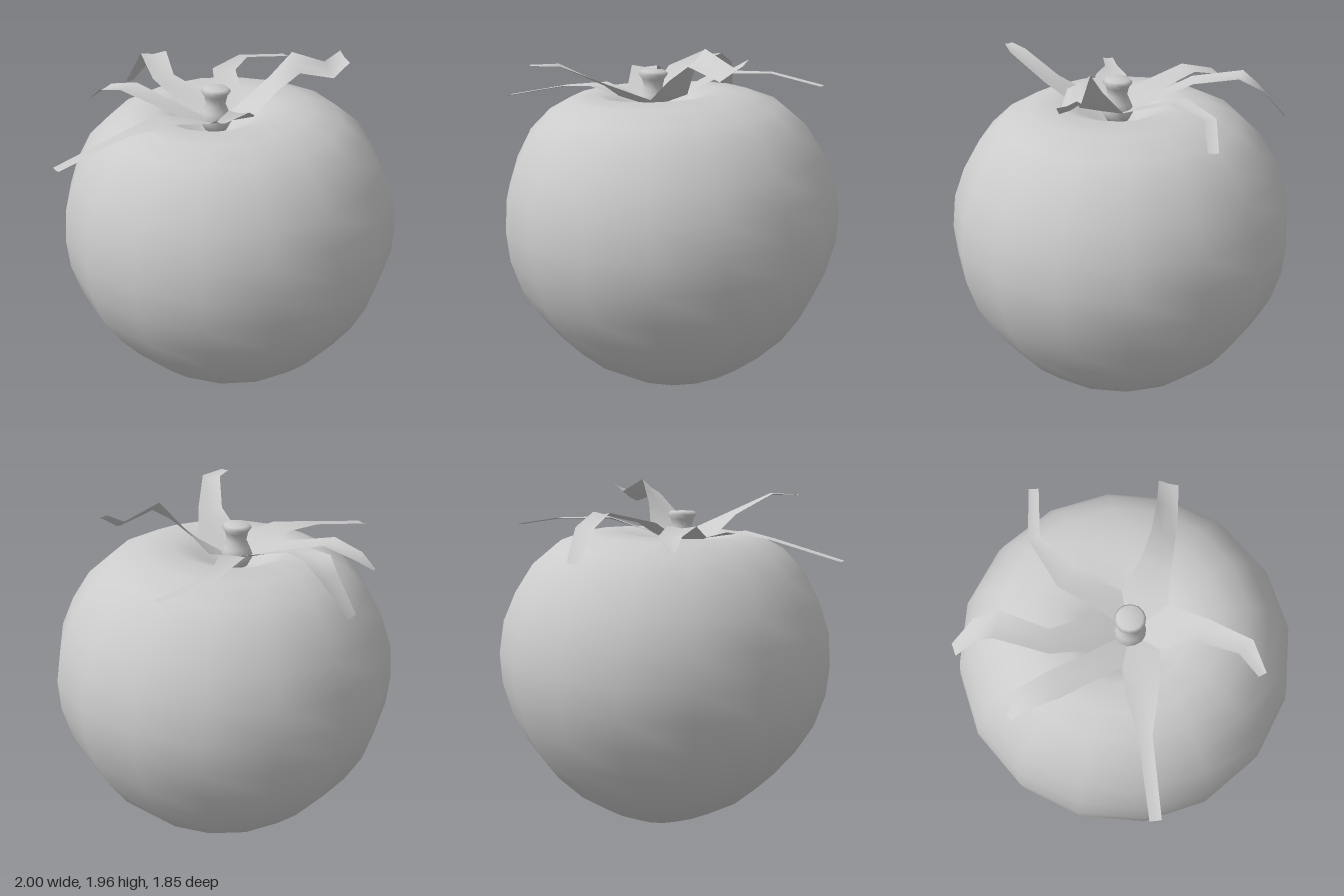
import * as THREE from 'three';
import { mergeVertices } from 'three/addons/utils/BufferGeometryUtils.js';

const SIDES = 16;
const TILT = 0.04; // the right shoulder sits a little higher than the left

// Lathe with a welded seam and leaning axis; profile rows are [radius, y, axis x]
function leaningLathe(rows, sides, tilt) {
  const points = rows.map(([r, y]) => new THREE.Vector2(r, y));
  let geo = new THREE.LatheGeometry(points, sides, -0.04);
  const pos = geo.attributes.position;
  for (let i = 0; i < pos.count; i++) {
    const x = pos.getX(i);
    pos.setX(i, x + rows[i % rows.length][2]);
    pos.setY(i, pos.getY(i) + tilt * x);
  }
  geo.deleteAttribute('uv');
  geo.deleteAttribute('normal');
  geo = mergeVertices(geo, 1e-4);
  geo.computeVertexNormals();
  return geo;
}

// Gaps between neighbouring sepals [x, z], going round the stem
const notches = [[0.17, 0], [0.06, 0.22], [-0.17, 0.14], [-0.23, -0.06], [-0.12, -0.19], [0.07, -0.11]];
const HUB = new THREE.Vector3(-0.03, 1.6, 0.01);

// Sepal strip: hub, notch pair, then rows [x, y, z, half width, edge roll]
function sepalGeometry(index, rows) {
  const edge = (k) => {
    const [x, z] = notches[k % notches.length];
    return new THREE.Vector3(x, 1.675 + TILT * x, z);
  };
  const a = edge(index), b = edge(index + 1);
  const middle = a.clone().add(b).multiplyScalar(0.5);
  const verts = [HUB, HUB, HUB, a, middle, b];
  const centres = [middle, ...rows.map(([x, y, z]) => new THREE.Vector3(x, y, z))];
  rows.forEach(([, , , half, roll = 0], i) => {
    const c = centres[i + 1];
    const dir = (centres[i + 2] ?? c).clone().sub(centres[i]).setY(0).normalize();
    const side = new THREE.Vector3(-dir.z * half, -roll, dir.x * half);
    const channel = c.clone();
    channel.y -= half * 0.15;
    verts.push(c.clone().sub(side), channel, c.clone().add(side));
  });
  const index3 = [];
  for (let r = 0; r < verts.length / 3 - 1; r++) {
    for (let k = 0; k < 2; k++) {
      const p = r * 3 + k;
      if (r > 0) index3.push(p, p + 1, p + 3);
      index3.push(p + 1, p + 4, p + 3);
    }
  }
  const geo = new THREE.BufferGeometry().setFromPoints(verts);
  geo.setIndex(index3);
  geo.computeVertexNormals();
  return geo;
}

export function createModel() {
  const model = new THREE.Group();
  model.name = 'tomato';
  const solid = new THREE.MeshStandardMaterial({ color: 0xcccccc });
  const thin = new THREE.MeshStandardMaterial({ color: 0xcccccc, side: THREE.DoubleSide });
  const add = (name, geo, material, parent = model) => {
    const mesh = new THREE.Mesh(geo, material);
    mesh.name = name;
    parent.add(mesh);
    return mesh;
  };

  // Fruit: pointed base, broad shoulders and a dimple under the stem
  add('fruit', leaningLathe([
    [0, 0.005, 0.12], [0.175, 0.045, 0.125], [0.345, 0.12, 0.12], [0.51, 0.22, 0.11],
    [0.655, 0.352, 0.105], [0.765, 0.495, 0.095], [0.855, 0.655, 0.085], [0.91, 0.833, 0.08],
    [0.925, 1.0, 0.075], [0.905, 1.18, 0.065], [0.845, 1.34, 0.055], [0.755, 1.495, 0.045],
    [0.635, 1.605, 0.035], [0.49, 1.668, 0.01], [0.33, 1.68, -0.01], [0.22, 1.635, -0.03],
    [0.1, 1.57, -0.03], [0, 1.55, -0.03],
  ], SIDES, TILT), solid);

  // Stem: waisted stub with a flared, slightly domed end
  const stem = add('stem', leaningLathe([
    [0, 1.56, 0], [0.06, 1.57, 0], [0.088, 1.62, 0], [0.07, 1.67, 0], [0.052, 1.71, 0],
    [0.062, 1.755, 0], [0.08, 1.78, 0], [0.066, 1.797, 0], [0, 1.802, 0],
  ], 14, 0), solid);
  stem.position.set(-0.03, 0, 0.01);

  // Calyx: six curling sepals sharing one hub
  const calyx = new THREE.Group();
  calyx.name = 'calyx';
  model.add(calyx);
  const sepals = {
    sepalFrontLeft: [[0.22, 1.81, 0.18, 0.08, 0.02], [0.33, 1.92, 0.235, 0.06, 0.04],
      [0.52, 1.855, 0.29, 0.055, 0.03], [0.615, 1.915, 0.31, 0.05, 0.02]],
    sepalFrontRight: [[-0.14, 1.77, 0.355, 0.066], [-0.3, 1.88, 0.53, 0.05], [-0.45, 1.875, 0.58, 0.022]],
    sepalRight: [[-0.37, 1.7, 0.015, 0.085], [-0.6, 1.67, -0.005, 0.035], [-1, 1.58, -0.02, 0.03]],
    sepalBackRight: [[-0.3, 1.75, -0.41, 0.075], [-0.34, 1.71, -0.58, 0.06], [-0.395, 1.64, -0.65, 0.018]],
    sepalBack: [[-0.075, 1.76, -0.4, 0.066], [0.03, 1.82, -0.64, 0.075],
      [0.05, 1.75, -0.75, 0.06], [0.025, 1.585, -0.885, 0.035]],
    sepalBackLeft: [[0.25, 1.77, -0.27, 0.065], [0.495, 1.765, -0.4, 0.032], [0.8, 1.72, -0.365, 0.026]],
  };
  Object.entries(sepals).forEach(([name, rows], i) => add(name, sepalGeometry(i, rows), thin, calyx));

  return model;
}
